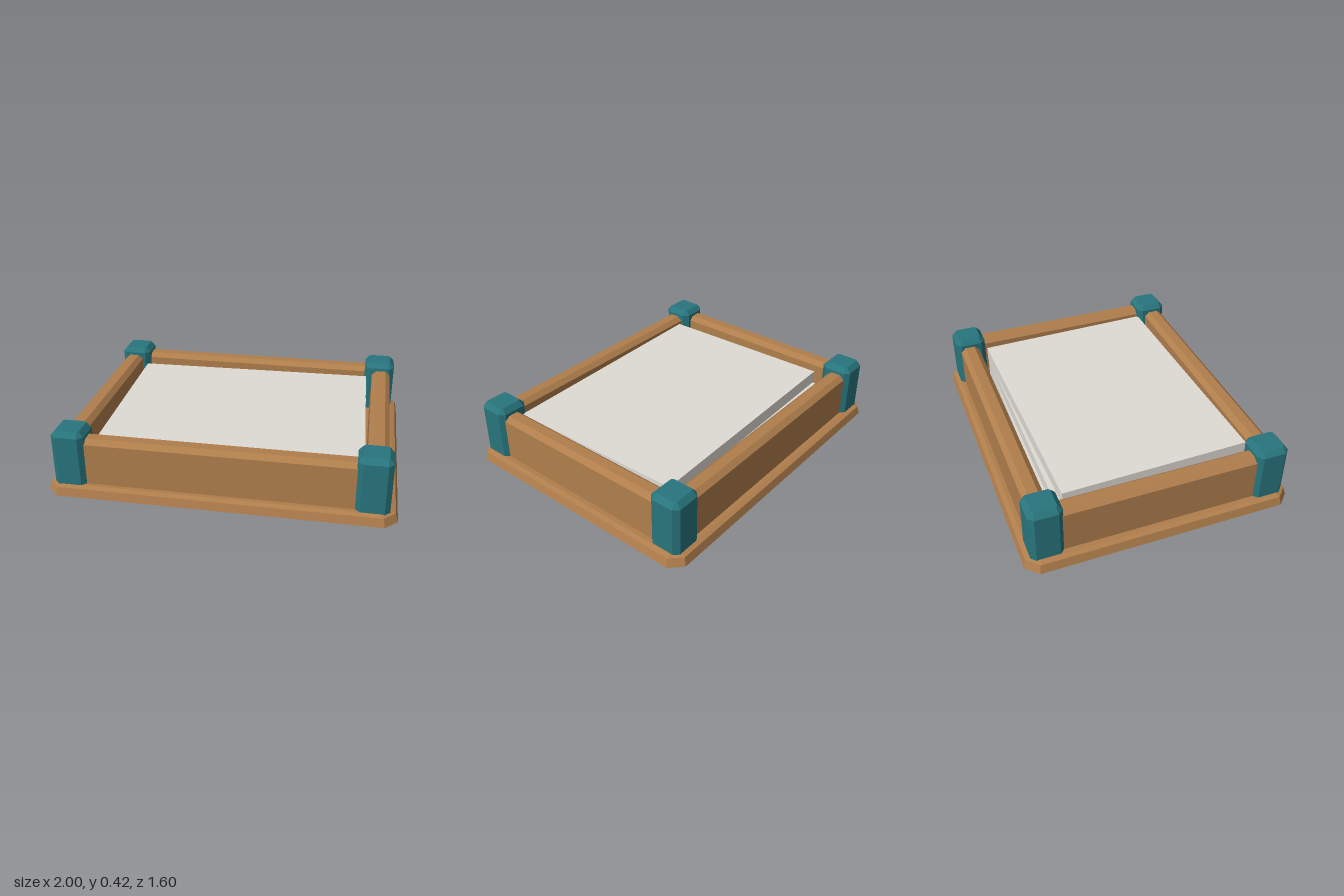
import * as THREE from 'three';

const material = (color) => new THREE.MeshStandardMaterial({ color, flatShading: true });

// Stacks rectangles with cut corners, each given as [y, halfX, halfZ, cut], into a closed solid
function bevelledBlock(rings) {
  const loops = rings.map(([y, hx, hz, c]) => [
    [hx, c - hz], [hx - c, -hz], [c - hx, -hz], [-hx, c - hz],
    [-hx, hz - c], [c - hx, hz], [hx - c, hz], [hx, hz - c],
  ].map(([x, z]) => [x, y, z]));
  const pos = [];
  const tri = (...corners) => corners.forEach((p) => pos.push(...p));
  for (let r = 0; r < loops.length - 1; r++) {
    for (let i = 0; i < 8; i++) {
      const j = (i + 1) % 8, lo = loops[r], hi = loops[r + 1];
      tri(lo[i], lo[j], hi[j]);
      tri(lo[i], hi[j], hi[i]);
    }
  }
  const bottom = loops[0], top = loops[loops.length - 1];
  for (let i = 1; i < 7; i++) {
    tri(bottom[0], bottom[i + 1], bottom[i]);
    tri(top[0], top[i], top[i + 1]);
  }
  const geometry = new THREE.BufferGeometry();
  geometry.setAttribute('position', new THREE.Float32BufferAttribute(pos, 3));
  geometry.computeVertexNormals();
  return geometry;
}

export function createModel() {
  const model = new THREE.Group();
  const wood = material(0xb07e4c);
  const teal = material(0x28757d);
  const paper = material(0xdedad4);

  const add = (name, geometry, mat, x = 0, y = 0, z = 0) => {
    const mesh = new THREE.Mesh(geometry, mat);
    mesh.name = name;
    mesh.position.set(x, y, z);
    model.add(mesh);
    return mesh;
  };

  // Base slab with bevelled rim
  add('baseSlab', bevelledBlock([
    [0, 0.93, 0.73, 0.004],
    [0.035, 1, 0.8, 0.07],
    [0.085, 0.985, 0.787, 0.065],
    [0.095, 0.96, 0.76, 0.05],
  ]), wood);

  // Four walls with chamfered top edges
  const wall = (hx, hz) => bevelledBlock([
    [0.08, hx, hz, 0.01],
    [0.345, hx, hz, 0.01],
    [0.372, hx - 0.03, hz - 0.03, 0.005],
  ]);
  for (const s of [1, -1]) {
    add(s > 0 ? 'frontWall' : 'backWall', wall(0.8, 0.06), wood, 0, 0, s * 0.675);
    add(s > 0 ? 'leftWall' : 'rightWall', wall(0.06, 0.6), wood, s * 0.87, 0, 0);
  }

  // Corner posts
  const post = bevelledBlock([
    [0.085, 0.097, 0.097, 0.03],
    [0.39, 0.097, 0.097, 0.03],
    [0.422, 0.07, 0.07, 0.01],
  ]);
  for (const x of [0.857, -0.857]) {
    for (const z of [0.664, -0.664]) add('cornerPost', post, teal, x, 0, z);
  }

  // Stack of paper, each layer turned a little
  const layers = [
    { x: 0.01, z: -0.005, turn: -0.02 },
    { x: 0.015, z: 0.01, turn: 0 },
    { x: 0.02, z: 0.025, turn: 0.024 },
  ];
  const thickness = 0.08;
  layers.forEach(({ x, z, turn }, i) => {
    const sheet = add('paperLayer', new THREE.BoxGeometry(1.53, thickness, 1.13), paper,
      x, 0.093 + thickness * (i + 0.5), z);
    sheet.rotation.y = turn;
  });

  return model;
}
